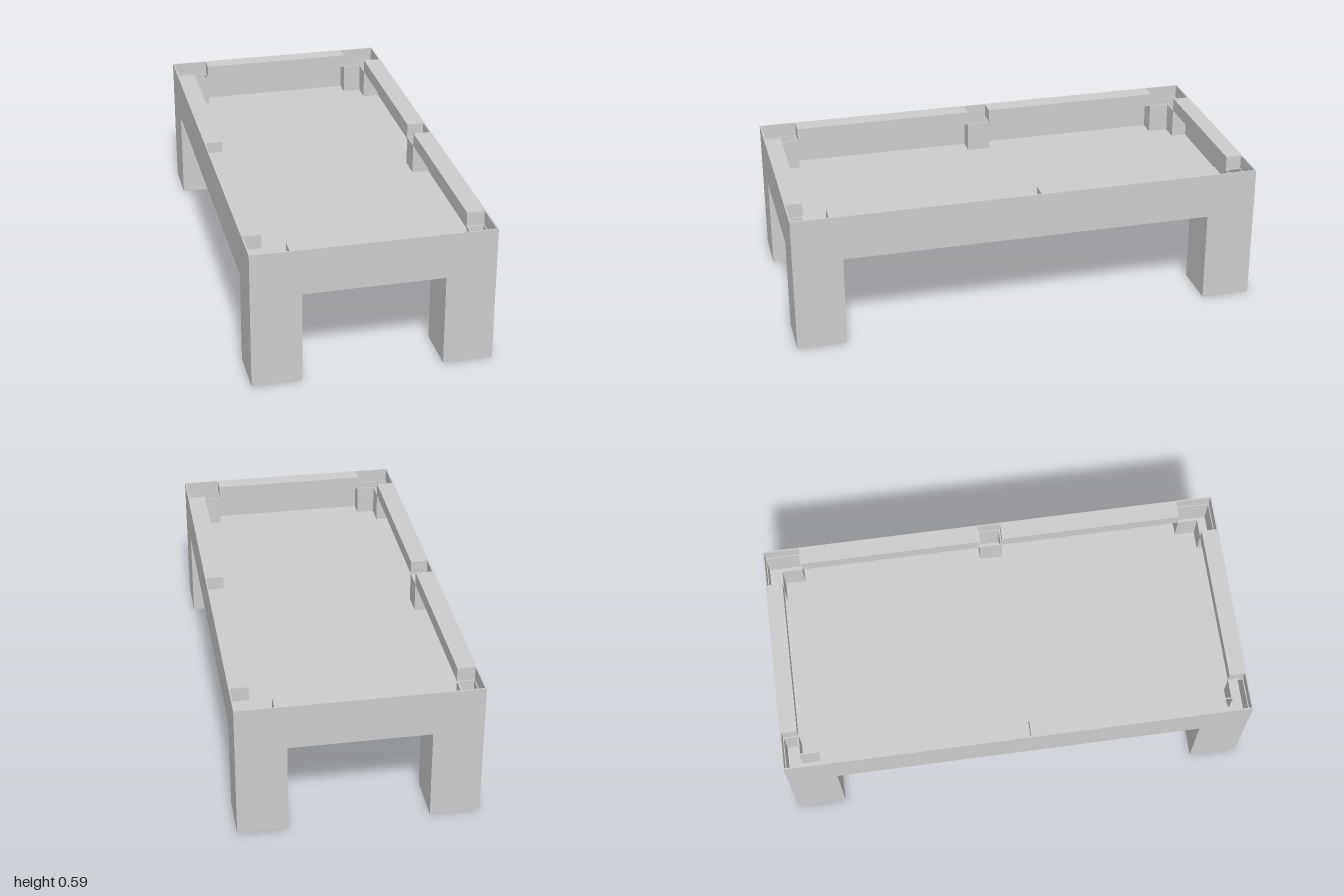
import * as THREE from 'three';

const TOP = 0.59, BASE = 0.395, FLOOR = 0.4, LEDGE = 0.53, WALL = 0.006;
const material = new THREE.MeshStandardMaterial({ color: 0xcccccc, flatShading: true });

// Box given by its minimum and maximum corners
function box(name, [x0, y0, z0], [x1, y1, z1]) {
  const geometry = new THREE.BoxGeometry(x1 - x0, y1 - y0, z1 - z0);
  geometry.translate((x0 + x1) / 2, (y0 + y1) / 2, (z0 + z1) / 2);
  const mesh = new THREE.Mesh(geometry, material);
  mesh.name = name;
  return mesh;
}

// Vertical prism from an [x, z] outline, optionally hollow
function prism(name, outline, hole, y0, y1) {
  const points = (list) => list.map(([x, z]) => new THREE.Vector2(x, z));
  const shape = new THREE.Shape(points(outline));
  if (hole) shape.holes.push(new THREE.Path(points(hole)));
  const geometry = new THREE.ExtrudeGeometry(shape, { depth: y1 - y0, bevelEnabled: false });
  geometry.rotateX(Math.PI / 2).translate(0, y1, 0);
  const mesh = new THREE.Mesh(geometry, material);
  mesh.name = name;
  return mesh;
}

const rect = (x, z) => [[-x, -z], [x, -z], [x, z], [-x, z]];

export function createModel() {
  const model = new THREE.Group();
  model.name = 'poolTable';

  // Open tray: thin outer walls and a low floor
  model.add(prism('outerWalls', rect(0.5, 1), rect(0.5 - WALL, 1 - WALL), BASE, TOP));
  model.add(box('trayFloor', [-0.499, BASE, -0.999], [0.499, FLOOR, 0.999]));

  // Corner pocket outline and its inset opening
  const corner = [[0.34, 0.996], [0.34, 0.927], [0.42, 0.927], [0.42, 0.84], [0.496, 0.84], [0.496, 0.996]];
  const cornerHole = [[0.346, 0.99], [0.346, 0.933], [0.426, 0.933], [0.426, 0.846], [0.49, 0.846], [0.49, 0.99]];
  const side = [[0.42, -0.05], [0.496, -0.05], [0.496, 0.05], [0.42, 0.05]];
  const sideHole = [[0.426, -0.044], [0.49, -0.044], [0.49, 0.044], [0.426, 0.044]];
  const mirror = (list, sx, sz) => list.map(([x, z]) => [x * sx, z * sz]);

  for (const sx of [-1, 1]) {
    // Side pocket well, its bottom just below the tray
    model.add(prism('sidePocketWell', mirror(side, sx, 1), mirror(sideHole, sx, 1), FLOOR, LEDGE));
    model.add(prism('sidePocketBottom', mirror(side, sx, 1), null, BASE - 0.003, FLOOR + 0.002));

    for (const sz of [-1, 1]) {
      const span = (a, b, s) => (s > 0 ? [a, b] : [-b, -a]);
      // Leg
      const [lx0, lx1] = span(0.292, 0.5, sx), [lz0, lz1] = span(0.79, 1, sz);
      model.add(box('leg', [lx0, 0, lz0], [lx1, BASE, lz1]));
      // Long rail between the side and corner pockets
      const [rx0, rx1] = span(0.42, 0.496, sx), [rz0, rz1] = span(0.05, 0.84, sz);
      model.add(box('longRail', [rx0, LEDGE, rz0], [rx1, TOP, rz1]));
      // L-shaped corner pocket well
      model.add(prism('cornerPocketWell', mirror(corner, sx, sz), mirror(cornerHole, sx, sz), FLOOR, LEDGE));
    }
  }

  // Short rails at both ends
  model.add(box('frontRail', [-0.34, LEDGE, 0.927], [0.34, TOP, 0.996]));
  model.add(box('backRail', [-0.34, LEDGE, -0.996], [0.34, TOP, -0.927]));
  return model;
}
